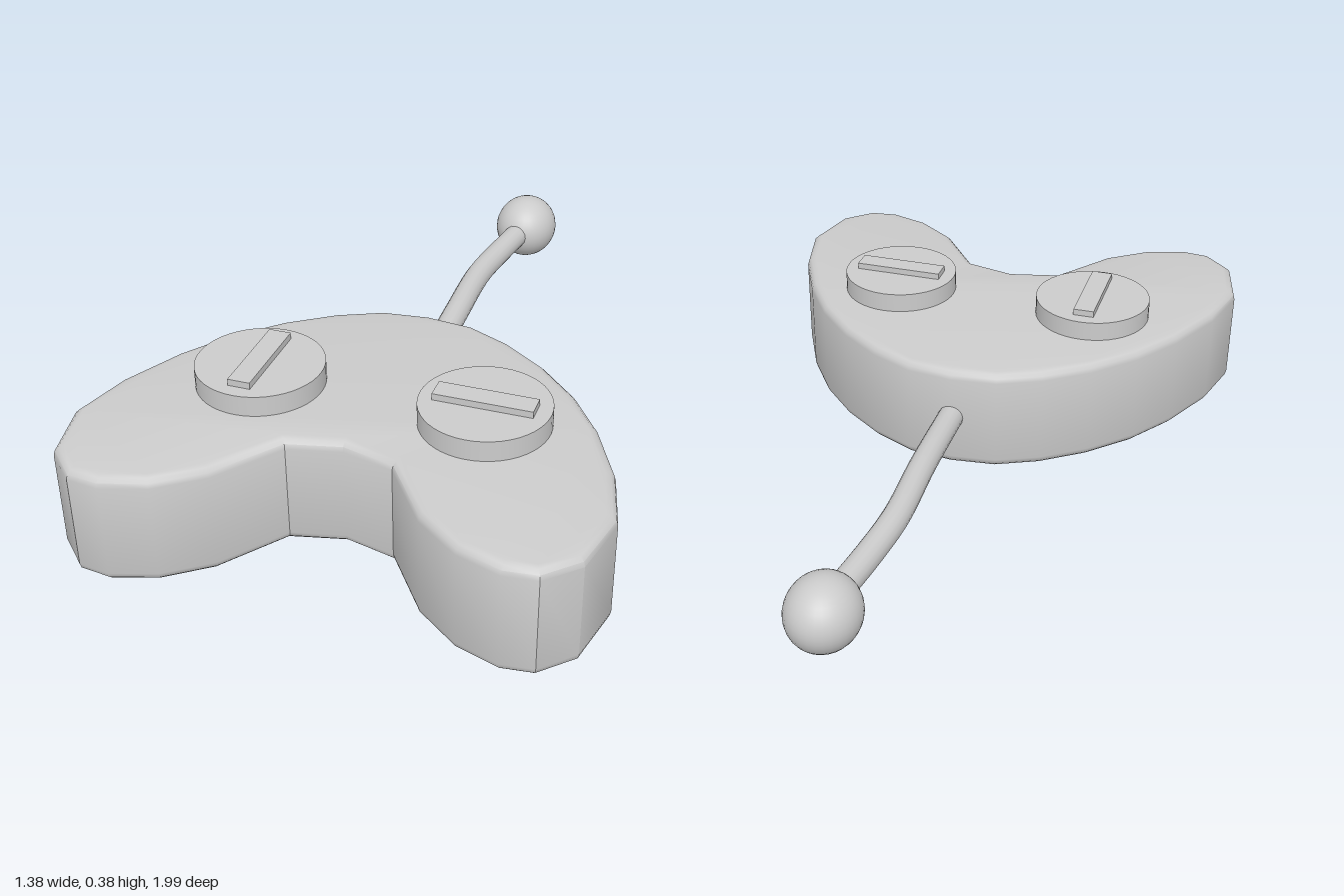
import * as THREE from 'three';
import { toCreasedNormals } from 'three/addons/utils/BufferGeometryUtils.js';

const material = new THREE.MeshStandardMaterial({ color: 0xcccccc });

function part(name, geometry, parent) {
  const mesh = new THREE.Mesh(geometry, material);
  mesh.name = name;
  parent.add(mesh);
  return mesh;
}

// Kidney-shaped body with rounded rims, mirrored from a half outline (x, z)
function bodyGeometry() {
  const half = [
    [0, 0.015], [0.13, 0.03], [0.25, 0.085], [0.37, 0.17], [0.48, 0.28],
    [0.57, 0.41], [0.65, 0.575], [0.692, 0.74], [0.655, 0.905], [0.575, 0.982],
    [0.49, 0.992], [0.375, 0.955], [0.26, 0.87], [0.138, 0.705], [0, 0.672],
  ];
  const mirrored = half.slice(1, -1).reverse().map(([x, z]) => [-x, z]);
  const outline = [...half, ...mirrored].map(([x, z]) => new THREE.Vector2(x, -z));
  const bevel = 0.026;
  const height = 0.306;
  const geometry = new THREE.ExtrudeGeometry(new THREE.Shape(outline), {
    depth: height - 2 * bevel,
    bevelThickness: bevel,
    bevelSize: bevel,
    bevelOffset: -bevel,
    bevelSegments: 3,
  });
  geometry.rotateX(-Math.PI / 2).translate(0, bevel, 0);
  return toCreasedNormals(geometry, 0.61);
}

// Round dial with a raised grip bar
function createKnob(name, x, turn) {
  const knob = new THREE.Group();
  knob.name = name;
  knob.position.set(x, 0.3, 0.473);
  knob.rotation.y = turn;
  part('dial', new THREE.CylinderGeometry(0.168, 0.168, 0.062, 48), knob).position.y = 0.031;
  part('gripBar', new THREE.BoxGeometry(0.258, 0.03, 0.06), knob).position.y = 0.065;
  return knob;
}

export function createModel() {
  const model = new THREE.Group();
  model.name = 'controller';

  part('body', bodyGeometry(), model);
  model.add(createKnob('leftKnob', 0.298, 0));
  model.add(createKnob('rightKnob', -0.302, Math.PI / 2));

  // Gently bent cable leaving the back of the body
  const path = new THREE.CatmullRomCurve3([
    [0, 0.155, 0.06], [-0.001, 0.158, -0.02], [-0.006, 0.168, -0.25],
    [-0.013, 0.166, -0.5], [0.002, 0.162, -0.66], [0.024, 0.16, -0.82],
  ].map((p) => new THREE.Vector3(...p)));
  part('cable', new THREE.TubeGeometry(path, 40, 0.036, 16), model);

  // Slightly elongated ball at the cable end
  const ball = part('endBall', new THREE.SphereGeometry(1, 32, 20), model);
  ball.scale.set(0.096, 0.097, 0.107);
  ball.position.set(0.031, 0.157, -0.893);

  return model;
}
